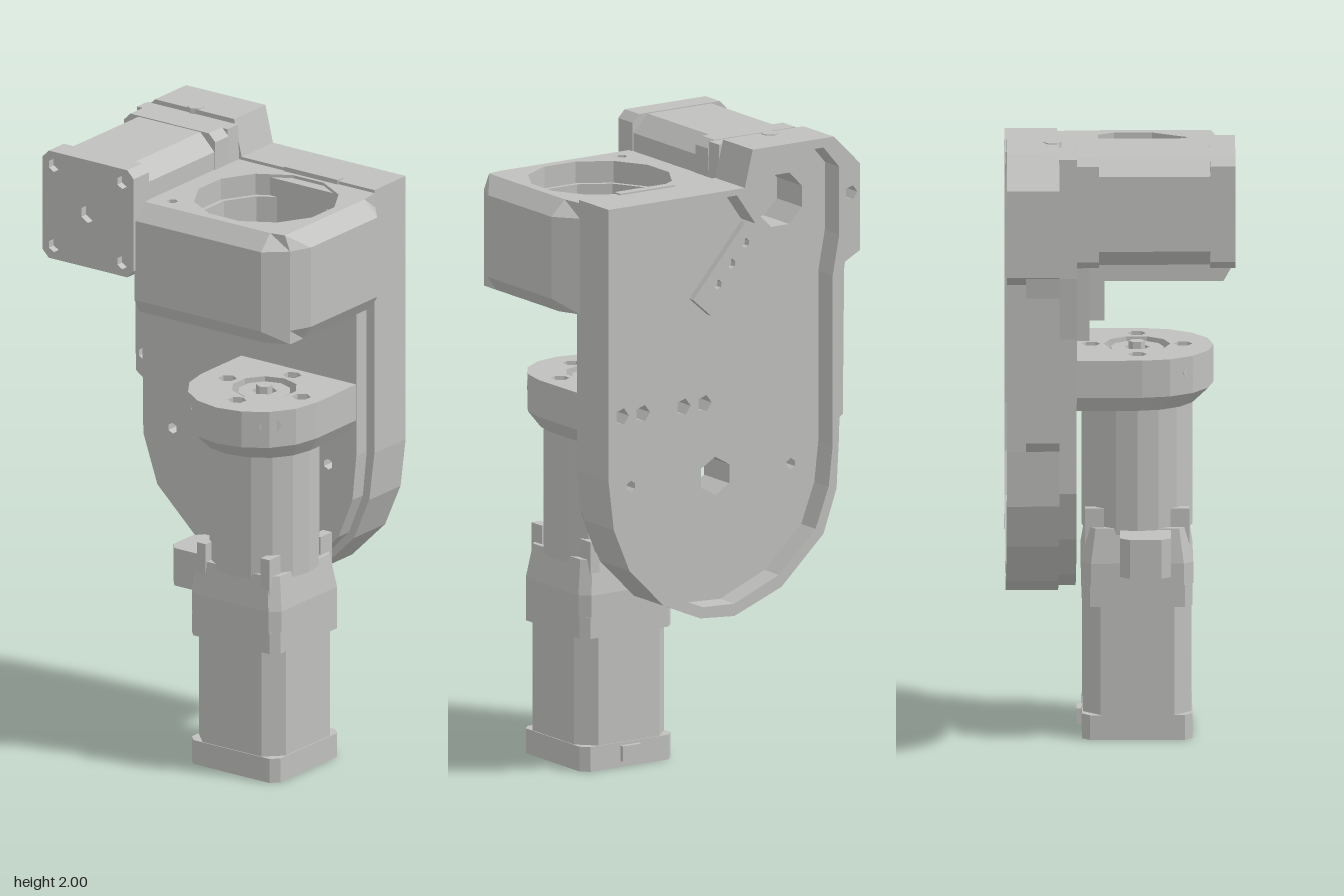
import * as THREE from 'three';

const metal = new THREE.MeshStandardMaterial({ color: 0xc0c0be, flatShading: true });
metal.name = 'light grey';

function add(parent, name, geo, x = 0, y = 0, z = 0) {
  const m = new THREE.Mesh(geo, metal);
  m.name = name;
  m.position.set(x, y, z);
  parent.add(m);
  return m;
}

// Box given by its limits
function box(parent, name, x0, x1, y0, y1, z0, z1) {
  return add(parent, name, new THREE.BoxGeometry(x1 - x0, y1 - y0, z1 - z0),
    (x0 + x1) / 2, (y0 + y1) / 2, (z0 + z1) / 2);
}

function circle(x, y, r, n = 8) {
  return Array.from({ length: n }, (_, i) => {
    const a = (i + 0.5) / n * Math.PI * 2;
    return new THREE.Vector2(x + r * Math.cos(a), y + r * Math.sin(a));
  });
}

// Outline with holes, extruded along z
function slab(points, holes, depth, steps = 1) {
  const s = new THREE.Shape(points.map(p => p.isVector2 ? p : new THREE.Vector2(...p)));
  s.holes = holes.map(h => new THREE.Path(h));
  return new THREE.ExtrudeGeometry(s, { depth, steps, bevelEnabled: false });
}

// Plan outline (x, -z) extruded upwards through given heights; rule moves vertices per level
function tower(points, holes, levels, rule) {
  const n = levels.length - 1;
  const g = slab(points, holes, n, n).rotateX(-Math.PI / 2);
  const p = g.attributes.position;
  for (let i = 0; i < p.count; i++) {
    const k = Math.round(p.getY(i));
    const [x, z] = rule ? rule(p.getX(i), p.getZ(i), k) : [p.getX(i), p.getZ(i)];
    p.setXYZ(i, x, levels[k], z);
  }
  return g;
}

function octagon(h, c) {
  return [[-h, c - h], [c - h, -h], [h - c, -h], [h, c - h], [h, h - c], [h - c, h], [c - h, h], [-h, h - c]];
}

// Square motor standing on its end face
function motor(name, h, length) {
  const g = new THREE.Group();
  g.name = name;
  const screws = [[-1, -1], [1, -1], [1, 1], [-1, 1]].map(([a, b]) => circle(a * (h - 0.045), b * (h - 0.045), 0.022, 6));
  add(g, 'motorEndFace', tower(octagon(h, 0.025), [...screws, circle(0, 0, 0.03, 6)], [0, 0.025]));
  add(g, 'motorEndCap', tower(octagon(h, 0.025), [], [0.025, 0.08]));
  add(g, 'motorBody', tower(octagon(h - 0.003, 0.055), [], [0.08, length - 0.07]));
  add(g, 'motorFrontCap', tower(octagon(h, 0.025), [], [length - 0.07, length]));
  return g;
}

export function createModel() {
  const model = new THREE.Group();
  model.name = 'motorMount';

  // Back tray: thick floor, shallow rim open to the back, raised front pad
  const lower = [[-0.43, 1.04], [-0.42, 0.86], [-0.37, 0.72], [-0.21, 0.57], [-0.03, 0.5], [0.1, 0.51],
    [0.24, 0.57], [0.37, 0.7], [0.43, 0.84], [0.45, 1.0], [0.45, 1.88], [-0.07, 1.88], [-0.1, 2]];
  const outline = [[-0.41, 2], [-0.51, 1.9], [-0.51, 1.62], ...lower];
  outline.splice(3, 0, [-0.435, 1.58]);
  const cavity = [[-0.37, 1.97], [-0.43, 1.9], [-0.43, 1.68], [-0.405, 1.55], [-0.405, 1.0], [-0.39, 0.87],
    [-0.34, 0.74], [-0.2, 0.61], [-0.03, 0.54], [0.09, 0.545], [0.22, 0.6], [0.34, 0.72], [0.4, 0.85],
    [0.42, 1.0], [0.42, 1.86], [-0.04, 1.86], [-0.11, 1.76], [-0.13, 1.76], [-0.12, 1.97]]
    .map(p => new THREE.Vector2(...p));
  const pad = [[-0.44, 1.985], [-0.44, 1.6], [-0.42, 1.4], [-0.415, 0.9], [-0.36, 0.74], [-0.2, 0.59],
    [-0.03, 0.515], [0.09, 0.525], [0.22, 0.58], [0.35, 0.715], [0.405, 0.85], [0.42, 1.0], [0.42, 1.86],
    [-0.08, 1.86], [-0.085, 1.985]];
  const ear = circle(-0.475, 1.81, 0.024, 5);
  const floorHoles = [circle(-0.012, 0.94, 0.062, 6), circle(-0.3, 0.94, 0.018, 6), circle(0.31, 0.95, 0.018, 6),
    circle(-0.26, 1.8, 0.09, 8), ...[0.03, 0.11, 0.265, 0.345].map(x => circle(x, 1.18, 0.028, 5))];
  add(model, 'trayFloor', slab(outline, [ear, ...floorHoles], 0.085), 0, 0, -0.28);
  add(model, 'trayRim', slab(outline, [cavity, ear], 0.08), 0, 0, -0.36);
  add(model, 'frontPad', slab(pad, floorHoles, 0.056), 0, 0, -0.196);

  // Side lug standing out from the tray edge
  add(model, 'sideLug', slab([[-0.43, 1.62], [-0.5, 1.62], [-0.49, 1.55], [-0.485, 1.08], [-0.43, 1.04]],
    [circle(-0.455, 1.14, 0.02, 6)], 0.105), 0, 0, -0.3);

  // Slanted strip on the inside of the tray
  const strip = add(model, 'trayStrip', slab([[-0.15, -0.045], [0.15, -0.045], [0.15, 0.045], [-0.15, 0.045]],
    [-0.1, -0.02, 0.06].map(x => circle(x, 0, 0.016, 6)), 0.025), -0.045, 1.61, -0.303);
  strip.rotation.z = -0.85;

  // Ring block: chamfered top and bottom, round opening
  const blockPlan = [[-0.085, -0.35], [0.41, -0.35], [0.48, -0.29], [0.51, -0.22], [0.51, 0.13], [0.45, 0.2], [-0.085, 0.2]];
  add(model, 'ringBlock', tower(blockPlan, [circle(0.205, -0.045, 0.23, 12), circle(-0.015, -0.245, 0.018, 6)],
    [1.51, 1.555, 1.82, 1.87], (x, z, k) => k === 0 ? [Math.min(x, 0.48), Math.min(z, 0.325)]
      : k === 3 ? [Math.min(x, 0.46), Math.min(z, 0.3)] : [x, z]));
  add(model, 'ringLip', tower(circle(0.205, -0.045, 0.235, 12), [circle(0.205, -0.045, 0.215, 12)], [1.6, 1.8]));
  box(model, 'ringBlockBack', 0.1, 0.31, 1.83, 1.885, -0.22, -0.19);

  // Flange: round front, straight sides, tapered underside, recessed middle
  const arc = Array.from({ length: 9 }, (_, i) => {
    const a = Math.PI + i / 8 * Math.PI;
    return [0.195 + 0.226 * Math.cos(a), -0.07 + 0.226 * Math.sin(a)];
  });
  const plan = [...arc, [0.419, 0.17], [-0.031, 0.17]];
  const centre = [0.205, -0.055];
  const bolts = [[-0.145, 0], [0.145, 0], [0, -0.145], [0, 0.145]].map(([a, b]) => [centre[0] + a, centre[1] + b]);
  add(model, 'flangeTop', tower(plan, [circle(...centre, 0.105, 10), ...bolts.map(b => circle(...b, 0.03, 6))], [1.16, 1.24]));
  add(model, 'flangeBase', tower(plan, [], [1.07, 1.12, 1.16],
    (x, z, k) => k ? [x, z] : [0.2 + (x - 0.2) * 0.85, z > 0 ? z * 0.82 : z]));
  add(model, 'outputHub', tower(circle(...centre, 0.085, 10), [circle(...centre, 0.04, 6)], [1.15, 1.23]));
  add(model, 'outputShaft', new THREE.CylinderGeometry(0.026, 0.026, 0.1, 6), 0.205, 1.2, 0.055);
  for (const s of [-1, 1]) {
    const slot = add(model, 'flangeSlot', new THREE.CylinderGeometry(0.028, 0.028, 0.008, 8),
      0.195 + s * 0.155, 1.19, 0.222);
    slot.rotation.set(Math.PI / 2, s * Math.PI / 4, 0, 'YXZ');
    slot.scale.x = 1.3;
  }

  // Gearbox and its square adapter
  add(model, 'gearbox', new THREE.CylinderGeometry(0.175, 0.175, 0.42, 16), 0.205, 0.87, 0.055);
  add(model, 'adapter', tower(octagon(0.176, 0.03), [], [0.5, 0.57, 0.68],
    (x, z, k) => k === 2 ? [x * 0.9, z * 0.9] : [x, z]), 0.205, 0, 0.055);
  for (const sx of [-1, 1]) for (const sz of [-1, 1]) {
    box(model, 'adapterRib', 0.205 + sx * 0.125 - 0.017, 0.205 + sx * 0.125 + 0.017, 0.53, 0.74,
      0.055 + sz * 0.135 - 0.03, 0.055 + sz * 0.135 + 0.03);
  }
  add(model, 'sidePlug', tower([[-0.07, -0.16], [0.06, -0.16], [0.06, 0], [-0.07, 0], [-0.095, -0.03], [-0.095, -0.13]],
    [], [0.55, 0.675]));

  // Lower motor
  const lowerMotor = motor('lowerMotor', 0.174, 0.5);
  lowerMotor.position.set(0.205, 0, 0.055);
  model.add(lowerMotor);
  box(model, 'lowerConnector', 0.17, 0.24, 0.02, 0.07, -0.135, -0.11);

  // Upper motor lying towards the front
  const upperMotor = motor('upperMotor', 0.179, 0.5);
  upperMotor.position.set(-0.26, 1.808, 0.36);
  upperMotor.rotation.x = -Math.PI / 2;
  model.add(upperMotor);
  add(model, 'seatBolt', new THREE.CylinderGeometry(0.028, 0.028, 0.02, 6), -0.265, 1.993, -0.215);

  // Bracket under the upper motor
  add(model, 'bracketPlate', slab([[-0.4, 1.39], [-0.085, 1.39], [-0.085, 1.64], [-0.41, 1.64]],
    [circle(-0.35, 1.45, 0.022, 6), circle(-0.35, 1.59, 0.022, 6), circle(-0.195, 1.59, 0.025, 6)], 0.045), 0, 0, -0.145);
  box(model, 'bracketRib', -0.115, -0.085, 1.39, 1.64, -0.15, -0.05);

  return model;
}
